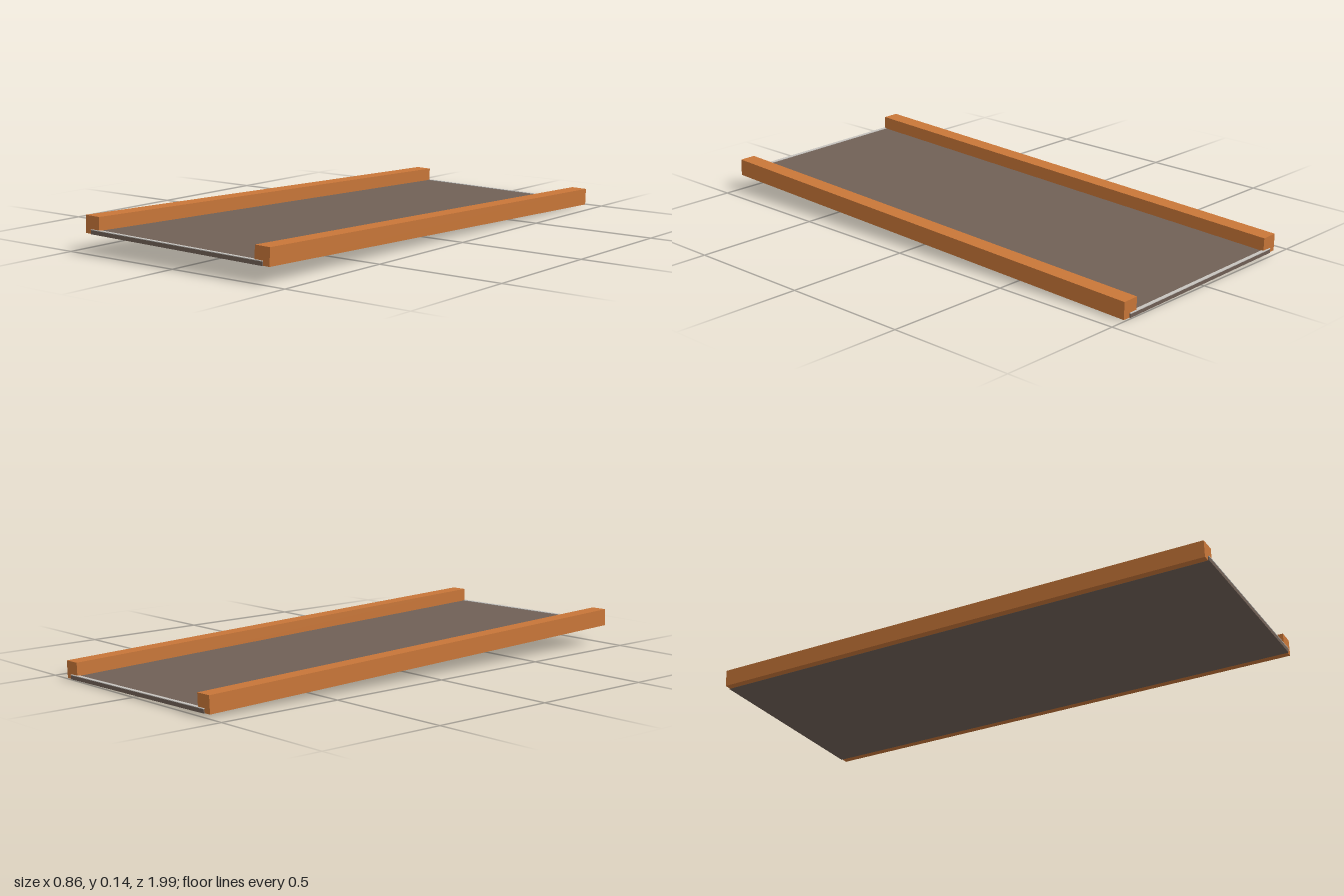
import * as THREE from 'three';

export function createModel() {
  const rust = new THREE.MeshStandardMaterial({ color: 0xc87638 });
  rust.name = 'orange';
  const brown = new THREE.MeshStandardMaterial({ color: 0x706056 });
  brown.name = 'grey brown';
  const pale = new THREE.MeshStandardMaterial({ color: 0xc6c3be });
  pale.name = 'pale grey';

  const model = new THREE.Group();
  model.name = 'ramp';

  // Box placed by its centre x, bottom y and centre z
  function addBox(name, material, w, h, d, x, y, z) {
    const mesh = new THREE.Mesh(new THREE.BoxGeometry(w, h, d), material);
    mesh.name = name;
    mesh.position.set(x, y + h / 2, z);
    model.add(mesh);
  }

  // Deck, slightly longer than the rails and flush with their undersides
  addBox('deck', brown, 0.8, 0.0155, 1.992, 0, -0.0005, 0);

  // Side rails
  for (const [name, side] of [['leftRail', 1], ['rightRail', -1]]) {
    addBox(name, rust, 0.065, 0.065, 1.984, side * 0.396, 0, 0);
  }

  // Thin edge strips across both ends of the deck
  for (const [name, end] of [['frontEdgeStrip', 1], ['backEdgeStrip', -1]]) {
    addBox(name, pale, 0.8, 0.0025, 0.014, 0, 0.0145, end * 0.9905);
  }

  // Slight slope: front raised, left side lowered
  model.rotation.set(-0.031, 0, -0.0145);
  model.position.y = 0.0376;

  const root = new THREE.Group();
  root.name = 'rampRoot';
  root.add(model);
  return root;
}
